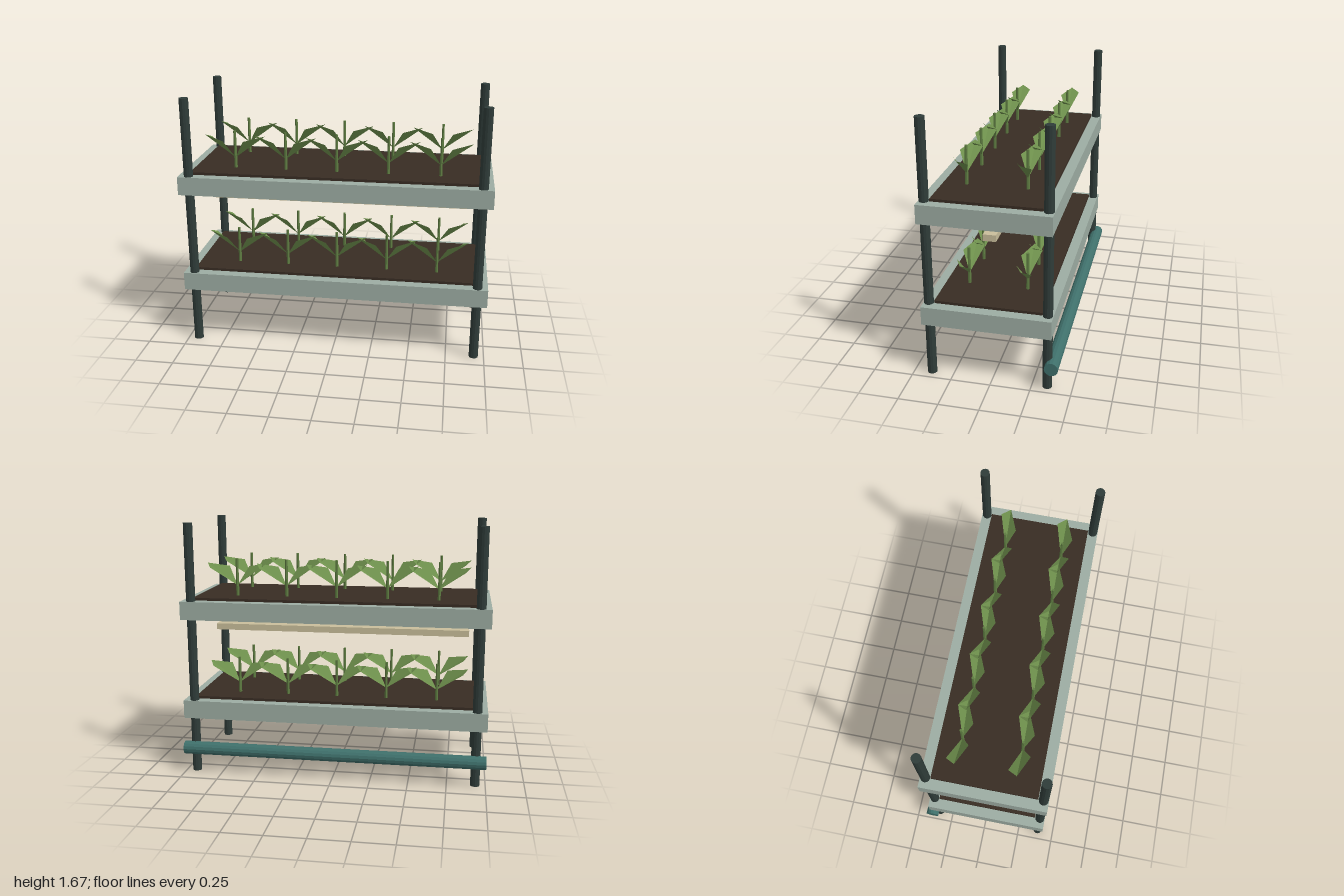
import * as THREE from 'three';

const mat = (name, color, extra = {}) => {
  const m = new THREE.MeshStandardMaterial({ color, ...extra });
  m.name = name;
  return m;
};

export function createModel() {
  const root = new THREE.Group();
  root.name = 'plantRack';
  const trayGrey = mat('tray grey green', 0x9dada3);
  const postDark = mat('post dark', 0x2f3c39, { flatShading: true });
  const pipeTeal = mat('pipe teal', 0x3f706b, { flatShading: true });
  const soilBrown = mat('soil brown', 0x382c23);
  const lampCream = mat('lamp cream', 0xc9be9b);
  const stemGreen = mat('stem green', 0x5f7d42, { flatShading: true });
  const leafGreen = mat('leaf green', 0x6f914d, { side: THREE.DoubleSide, flatShading: true });

  const CZ = 0.022; // middle of the rack in z
  const add = (parent, name, geo, material, x, y, z) => {
    const mesh = new THREE.Mesh(geo, material);
    mesh.name = name;
    mesh.position.set(x, y, z);
    parent.add(mesh);
    return mesh;
  };

  // Corner posts
  const postGeo = new THREE.CylinderGeometry(0.03, 0.03, 1.667, 12);
  for (const sx of [-1, 1])
    for (const sz of [-1, 1])
      add(root, 'post', postGeo, postDark, sx * 0.933, 0.8335, CZ + sz * 0.367);

  // Water pipe along the back
  const pipeGeo = new THREE.CylinderGeometry(0.0433, 0.0433, 2, 14).rotateZ(Math.PI / 2);
  add(root, 'waterPipe', pipeGeo, pipeTeal, 0, 0.167, CZ - 0.4);

  // Lamp bar under the upper tray
  add(root, 'lampBar', new THREE.BoxGeometry(1.733, 0.042, 0.08), lampCream, 0, 0.93, CZ);

  // Folded leaf: base, front corner, tip and back corner; side mirrors it in x
  const leafGeo = (side) => {
    const base = [0, 0, 0], front = [0.067 * side, 0.12, 0.058];
    const tip = [0.2 * side, 0.146, 0], back = [0.168 * side, 0.12, -0.058];
    const faces = side > 0
      ? [base, front, tip, base, tip, back]
      : [base, tip, front, base, back, tip];
    const g = new THREE.BufferGeometry();
    g.setAttribute('position', new THREE.Float32BufferAttribute(faces.flat(), 3));
    g.computeVertexNormals();
    return g;
  };
  const leaves = [leafGeo(-1), leafGeo(1)];
  const stemGeo = new THREE.CylinderGeometry(0.009, 0.011, 0.25, 6);
  const trayGeo = new THREE.BoxGeometry(2, 0.12, 0.8);
  const soilGeo = new THREE.BoxGeometry(1.867, 0.04, 0.667);

  // Two planted shelves
  for (const y of [0.433, 1.1]) {
    const shelf = new THREE.Group();
    shelf.name = 'shelf';
    shelf.position.set(0, y, CZ);
    root.add(shelf);
    add(shelf, 'tray', trayGeo, trayGrey, 0, 0, 0);
    add(shelf, 'soil', soilGeo, soilBrown, 0, 0.057, 0);
    for (const z of [-0.187, 0.187])
      for (let i = -2; i <= 2; i++) {
        const plant = new THREE.Group();
        plant.name = 'plant';
        plant.position.set(i / 3, 0.077, z);
        shelf.add(plant);
        add(plant, 'stem', stemGeo, stemGreen, 0, 0.12, 0);
        for (const g of leaves) add(plant, 'leaf', g, leafGreen, 0, 0.069, 0);
      }
  }
  return root;
}
